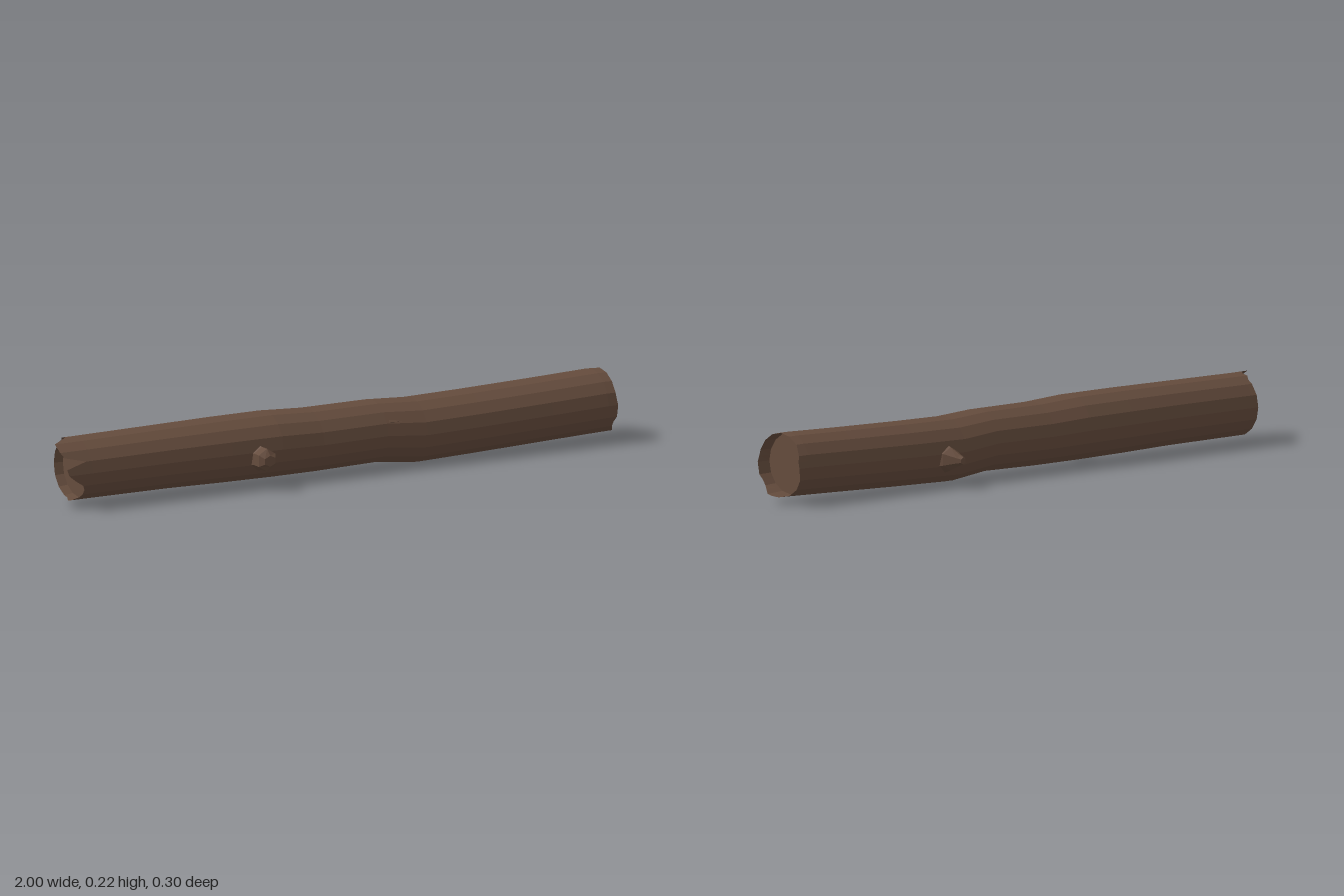
import * as THREE from 'three';

const SIDES = 16, COLS = 32;

// Point on a 16-sided cross-section; odd columns lie halfway along a flat side
function ringPoint(x, cy, r, k) {
  const at = (i) => [Math.cos((i / SIDES) * Math.PI * 2) * r, Math.sin((i / SIDES) * Math.PI * 2) * r];
  const a = at(Math.floor(k / 2)), b = at(Math.ceil(k / 2));
  return [x, cy + (a[0] + b[0]) / 2, (a[1] + b[1]) / 2];
}

// Skin a list of rings, each an array of points
function loft(rings) {
  const n = rings[0].length, index = [];
  for (let j = 0; j < rings.length - 1; j++) {
    for (let i = 0; i < n; i++) {
      const a = j * n + i, b = j * n + (i + 1) % n;
      index.push(a, b, b + n, a, b + n, a + n);
    }
  }
  const geo = new THREE.BufferGeometry();
  geo.setAttribute('position', new THREE.Float32BufferAttribute(rings.flat(2), 3));
  geo.setIndex(index);
  const flat = geo.toNonIndexed();
  flat.computeVertexNormals();
  return flat;
}

// Broken rims: x of each column, going from the top round by the front
const LEFT_RIM = [-0.94, -0.97, -1, -1, -1, -0.99, -0.92, -0.99, -0.985, -0.96, -0.93, -0.92, -0.92, -0.92, -0.94, -0.94,
  -0.93, -0.92, -0.92, -0.92, -0.92, -0.92, -0.92, -0.92, -0.92, -0.92, -0.92, -0.92, -0.92, -0.92, -0.93, -0.93];
const RIGHT_RIM = [0.98, 0.98, 0.98, 0.98, 0.98, 0.98, 0.98, 0.982, 0.985, 0.985, 0.985, 0.98, 0.98, 0.99, 1, 1,
  0.99, 0.985, 0.98, 0.98, 0.98, 0.982, 0.985, 0.99, 0.995, 0.995, 0.99, 0.985, 0.98, 0.98, 0.98, 0.98];

// Trunk stations: x, centre height, radius
const STATIONS = [
  [-0.9, 0.118, 0.098], [-0.6, 0.119, 0.1], [-0.4, 0.118, 0.103], [-0.22, 0.117, 0.104], [-0.07, 0.113, 0.1],
  [0.16, 0.115, 0.098], [0.3, 0.103, 0.102], [0.5, 0.107, 0.101], [0.75, 0.114, 0.1], [0.95, 0.12, 0.1],
];

function trunkGeometry() {
  const ring = (x, cy, r) => Array.from({ length: COLS }, (_, k) => ringPoint(Array.isArray(x) ? x[k] : x, cy, r, k));
  return loft([
    ring(-0.89, 0.118, 0), ring(-0.89, 0.118, 0.094), ring(LEFT_RIM, 0.118, 0.098),
    ...STATIONS.map((s) => ring(...s)),
    ring(RIGHT_RIM, 0.12, 0.099), ring(0.94, 0.12, 0.095), ring(0.94, 0.12, 0),
  ]);
}

// Broken branch stub: sections are [x, y, z, half width, half height]
function stubGeometry(sections, sides, dir) {
  return loft(sections.map(([x, y, z, w, h]) => Array.from({ length: sides }, (_, i) => {
    const a = dir * ((i + 0.5) / sides) * Math.PI * 2;
    return [x + Math.cos(a) * w, y + Math.sin(a) * h, z];
  })));
}

export function createModel() {
  const model = new THREE.Group();
  model.name = 'log';
  const bark = new THREE.MeshStandardMaterial({ color: 0x654c3d, flatShading: true });
  bark.name = 'brown bark';
  const add = (name, geo) => {
    const mesh = new THREE.Mesh(geo, bark);
    mesh.name = name;
    model.add(mesh);
    return mesh;
  };

  add('trunk', trunkGeometry());

  // Blunt stub on the front, tapering stub on the back
  add('frontStub', stubGeometry([
    [-0.3, 0.099, 0.085, 0.036, 0.042], [-0.3, 0.099, 0.108, 0.032, 0.036], [-0.298, 0.098, 0.135, 0.034, 0.036],
    [-0.295, 0.097, 0.149, 0.022, 0.017], [-0.295, 0.097, 0.149, 0, 0],
  ], 6, 1));
  add('backStub', stubGeometry([
    [0.37, 0.09, -0.08, 0.05, 0.046], [0.37, 0.089, -0.105, 0.036, 0.036], [0.36, 0.087, -0.138, 0.018, 0.016],
    [0.358, 0.086, -0.149, 0.011, 0.011], [0.358, 0.086, -0.149, 0, 0],
  ], 6, -1));

  // Thin lifted sliver of bark along a split on the front
  const sliver = add('barkSplit', new THREE.ConeGeometry(0.006, 0.13, 4));
  sliver.rotation.z = -Math.PI / 2 - 0.06;
  sliver.position.set(0.235, 0.152, 0.085);

  return model;
}
